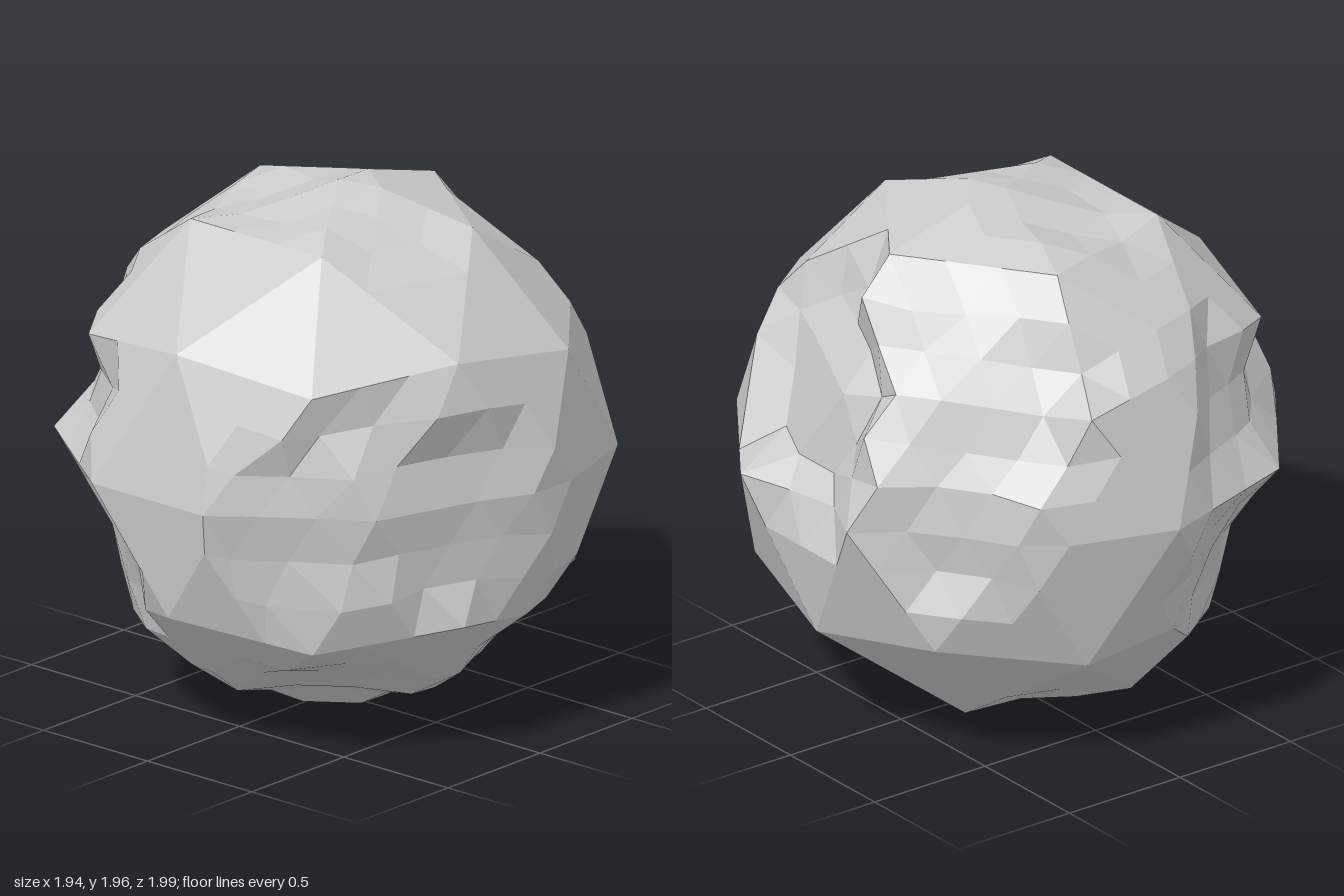
import * as THREE from 'three';

const RADIUS = 1.02;
const CENTRE = new THREE.Vector3(0, 1, 0.02);
const BACKWARD = [0, 0, -1];

// Craters: axis direction, reach on the unit sphere, depth, rim steepness (0..1),
// and the way the floor is pushed when that is not along the axis
const CRATERS = [
  [[0.887, 0.412, 0.206], 0.425, 0.16, 0.75],     // left side, large
  [[0.66, 0.72, 0.2], 0.12, 0.13],                // left side, upper lobe
  [[0.995, 0.07, -0.08], 0.22, 0.11],             // left side, lower lobe
  [[-0.36, -0.02, 0.93], 0.39, 0.1, 0.6, BACKWARD],  // front
  [[-0.68, 0.3, 0.67], 0.2, 0.1, 0.5, BACKWARD],     // front upper
  [[-0.84, -0.08, 0.53], 0.34, 0.11, 0.6, BACKWARD], // front lower
  [[0.3, -0.66, 0.69], 0.27, 0.06],               // front chin
  [[-0.13, 0.88, 0.43], 0.14, 0.04],              // brow
  [[-0.12, 0.97, -0.16], 0.3, 0.05],              // top
  [[-0.38, -0.87, 0.3], 0.35, 0.06],              // underside, front
  [[0.12, -0.98, -0.15], 0.3, 0.04],              // underside, back
  [[-0.45, 0.35, -0.82], 0.26, 0.09],             // back upper, inner lobe
  [[-0.66, 0.24, -0.71], 0.24, 0.09],             // back upper, middle
  [[-0.8, 0.27, -0.53], 0.18, 0.09],              // back upper, outer lobe
  [[-0.45, -0.38, -0.81], 0.3, 0.11],             // back lower, inner lobe
  [[-0.77, -0.38, -0.52], 0.3, 0.11],             // back lower, outer lobe
  [[0.58, 0.52, -0.63], 0.37, 0.11],              // back left, upper
  [[0.57, 0.77, -0.24], 0.17, 0.07],              // back left, top lobe
  [[0.75, 0, -0.66], 0.3, 0.08],                  // back left, lower
].map(([direction, reach, depth, steep = 0.5, way]) => {
  const axis = new THREE.Vector3(...direction).normalize();
  const push = way ? new THREE.Vector3(...way) : axis.clone().negate();
  return { axis, reach, depth, steep, push };
});

// Twenty triangles of a pole-up icosahedron
function icosahedronFaces() {
  const point = (y, degrees) => {
    const a = THREE.MathUtils.degToRad(degrees), r = Math.sqrt(1 - y * y);
    return new THREE.Vector3(r * Math.cos(a), y, r * Math.sin(a));
  };
  const h = 1 / Math.sqrt(5), top = point(1, 0), bottom = point(-1, 0);
  const faces = [];
  for (let i = 0; i < 5; i++) {
    const u0 = point(h, 72 * i), u1 = point(h, 72 * i + 72);
    const l0 = point(-h, 72 * i + 36), l1 = point(-h, 72 * i + 108);
    faces.push([top, u1, u0], [u0, u1, l0], [l0, u1, l1], [bottom, l0, l1]);
  }
  return faces;
}

// Split a triangle into n * n smaller ones, kept flat
function split([a, b, c], n) {
  const at = (i, j) => a.clone().multiplyScalar((n - i - j) / n)
    .addScaledVector(b, i / n).addScaledVector(c, j / n);
  const out = [];
  for (let i = 0; i < n; i++) {
    for (let j = 0; j < n - i; j++) {
      out.push([at(i, j), at(i + 1, j), at(i, j + 1)]);
      if (i + j < n - 1) out.push([at(i + 1, j), at(i + 1, j + 1), at(i, j + 1)]);
    }
  }
  return out;
}

// Push a surface point in by the deepest crater that covers it
function dent(p) {
  const direction = p.clone().normalize();
  let best = null, most = 0;
  for (const crater of CRATERS) {
    const d = direction.distanceTo(crater.axis) / crater.reach;
    const amount = d < 1 ? crater.depth * Math.min(1, crater.steep + 1.2 * (1 - d)) : 0;
    if (amount > most) { most = amount; best = crater; }
  }
  const q = p.clone().multiplyScalar(RADIUS);
  if (best) q.addScaledVector(best.push, most);
  return q.add(CENTRE);
}

export function createModel() {
  // Coarse round body with flat facets, then a finer grid for the craters
  const coarse = icosahedronFaces().flatMap(f => split(f, 2));
  coarse.forEach(f => f.forEach(p => p.normalize()));
  const positions = [];
  for (const [a, b, c] of coarse.flatMap(f => split(f, 3))) {
    const normal = b.clone().sub(a).cross(c.clone().sub(a));
    const outward = normal.dot(a) > 0 ? [a, b, c] : [a, c, b];
    outward.forEach(p => positions.push(...dent(p).toArray()));
  }
  const geometry = new THREE.BufferGeometry();
  geometry.setAttribute('position', new THREE.Float32BufferAttribute(positions, 3));
  geometry.computeVertexNormals();

  const rock = new THREE.Mesh(geometry,
    new THREE.MeshStandardMaterial({ color: 0xcccccc, flatShading: true }));
  rock.name = 'crateredRock';
  const group = new THREE.Group();
  group.name = 'asteroid';
  group.add(rock);
  return group;
}
